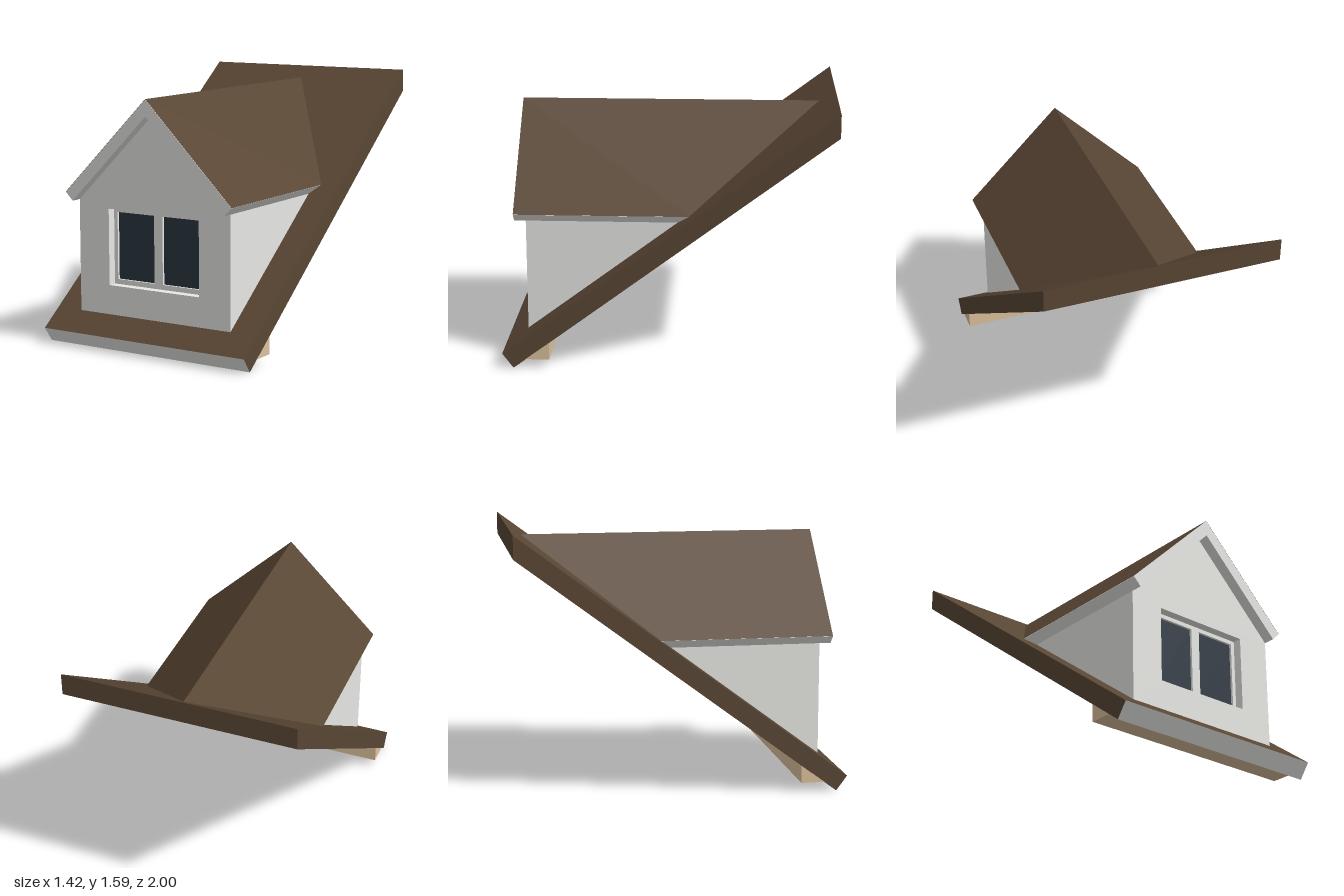
import * as THREE from 'three';

const SLOPE = 0.75;              // fall of the main roof
const TOP = 0.84, UNDER = 0.7;   // height of its two planes at z = 0
const HALF = 0.71;               // half width of the main roof
const onPlane = (c, y) => (c - y) / SLOPE;

const paint = (name, color) => new THREE.MeshStandardMaterial({ name, color, side: THREE.DoubleSide });
const toShape = (pts) => new THREE.Shape(pts.map(([x, y]) => new THREE.Vector2(x, y)));
const rect = (x0, y0, x1, y1) => [[x0, y0], [x1, y0], [x1, y1], [x0, y1]];

// Symmetric gable outline: walls at +-w from y0 up to a 45 degree roof with the given ridge
const gable = (w, y0, ridge) => [[-w, y0], [w, y0], [w, ridge - w], [0, ridge], [-w, ridge - w]];

// Flat convex face; corners run counter-clockwise seen from outside
function face(pts) {
  const g = new THREE.BufferGeometry();
  const v = [];
  for (let i = 1; i < pts.length - 1; i++) v.push(...pts[0], ...pts[i], ...pts[i + 1]);
  g.setAttribute('position', new THREE.Float32BufferAttribute(v, 3));
  g.computeVertexNormals();
  return g;
}

// The same face on the left (s = 1) or mirrored to the right (s = -1)
function sideFace(pts, s) {
  const p = pts.map(([x, y, z]) => [x * s, y, z]);
  return face(s > 0 ? p : p.reverse());
}

// Plate between two z values, with optional holes
function plate(pts, holes, z0, z1) {
  const shape = toShape(pts);
  holes.forEach((h) => shape.holes.push(toShape(h)));
  return new THREE.ExtrudeGeometry(shape, { depth: z1 - z0, bevelEnabled: false }).translate(0, 0, z0);
}

// Prism running back from zFront until it dies into the sloping roof
function prism(pts, zFront) {
  const g = plate(pts, [], 0, 1);
  const p = g.attributes.position;
  for (let i = 0; i < p.count; i++) p.setZ(i, p.getZ(i) > 0.5 ? zFront : onPlane(0.77, p.getY(i)));
  g.computeVertexNormals();
  return g;
}

// Sloping roof plane with the dormer opening cut out
function roofPlane(c, zFront, flip) {
  const shape = toShape(rect(-HALF, -zFront, HALF, 1));
  const eave = -onPlane(c, 0.945), apex = -onPlane(c, 1.335);
  shape.holes.push(toShape([[-0.39, -0.715], [0.39, -0.715], [0.39, eave], [0, apex], [-0.39, eave]]));
  const g = new THREE.ShapeGeometry(shape);
  const p = g.attributes.position;
  for (let i = 0; i < p.count; i++) {
    const z = -p.getY(i);
    p.setXYZ(i, p.getX(i), c - SLOPE * z, z);
  }
  if (flip) g.setIndex(Array.from(g.index.array).reverse());
  g.computeVertexNormals();
  return g;
}

export function createModel() {
  const model = new THREE.Group();
  model.name = 'roofDormer';
  const brown = paint('roof brown', 0x594634);
  const white = paint('painted white', 0xe9e9e6);
  const tan = paint('interior tan', 0xdcc19c);
  const glass = paint('dark glass', 0x293540);
  const add = (name, geometry, material) => {
    const m = new THREE.Mesh(geometry, material);
    m.name = name;
    model.add(m);
  };

  // Main roof slab
  add('roofTop', roofPlane(TOP, 1, false), brown);
  add('roofUnderside', roofPlane(UNDER, 0.933, true), tan);
  add('roofFrontEdge', face([[-HALF, 0, 0.933], [HALF, 0, 0.933], [HALF, 0.09, 1], [-HALF, 0.09, 1]]), white);
  add('roofBackEdge', face([[HALF, 1.45, -1], [-HALF, 1.45, -1], [-HALF, 1.59, -1], [HALF, 1.59, -1]]), brown);

  // Low wall under the slab
  const knee = new THREE.ExtrudeGeometry(
    toShape([[-0.86, 0.057], [-0.715, 0.057], [-0.715, 0.164]]),
    { depth: 2 * HALF, bevelEnabled: false });
  add('kneeWall', knee.rotateY(Math.PI / 2).translate(-HALF, 0, 0), tan);

  // Dormer front wall, with its inside lining
  const opening = rect(-0.32, 0.375, 0.32, 0.84);
  add('frontWall', plate(gable(0.535, 0.17, 1.415), [opening], 0.718, 0.86), white);
  add('frontWallLining', plate(gable(0.39, 0.16, 1.335), [opening], 0.715, 0.718), tan);

  // Window: frame with two panes, and a casing on the inside
  const panes = [-1, 1].map((s) => rect(s * 0.1625 - 0.1325, 0.405, s * 0.1625 + 0.1325, 0.815));
  add('windowFrame', plate(opening, panes, 0.77, 0.805), white);
  panes.forEach((p) => add('windowPane', plate(p, [], 0.782, 0.79), glass));
  add('windowCasing', plate(rect(-0.352, 0.343, 0.352, 0.872), [opening], 0.705, 0.715), white);

  // Dormer roof body
  add('dormerRoof', prism([[0, 1.515], [-0.585, 0.93], [-0.535, 0.88], [0, 1.415], [0.535, 0.88], [0.585, 0.93]], 0.93), white);

  for (const s of [1, -1]) {
    add('roofSideEdge', sideFace([[HALF, 0.09, 1], [HALF, 0, 0.933], [HALF, 1.45, -1], [HALF, 1.59, -1]], s), brown);

    // Dormer side wall
    add('sideWall', prism([[0.4 * s, 0.17], [0.535 * s, 0.17], [0.535 * s, 0.88], [0.4 * s, 1.015]], 0.855), white);

    // Brown covering on each roof pitch
    add('dormerRoofCovering', sideFace([
      [0, 1.517, 0.93], [0.586, 0.931, 0.93],
      [0.586, 0.931, onPlane(TOP, 0.931) - 0.01], [0, 1.517, onPlane(TOP, 1.517) - 0.01]], s), brown);

    // Inside wall and ceiling of the dormer
    add('sideLining', sideFace([
      [0.39, 0.164, 0.715], [0.39, 0.945, 0.715], [0.39, 0.945, onPlane(UNDER, 0.945)]], s), tan);
    add('ceiling', sideFace([
      [0.39, 0.945, 0.715], [0, 1.335, 0.715],
      [0, 1.335, onPlane(UNDER, 1.335)], [0.39, 0.945, onPlane(UNDER, 0.945)]], s), tan);
  }
  return model;
}
